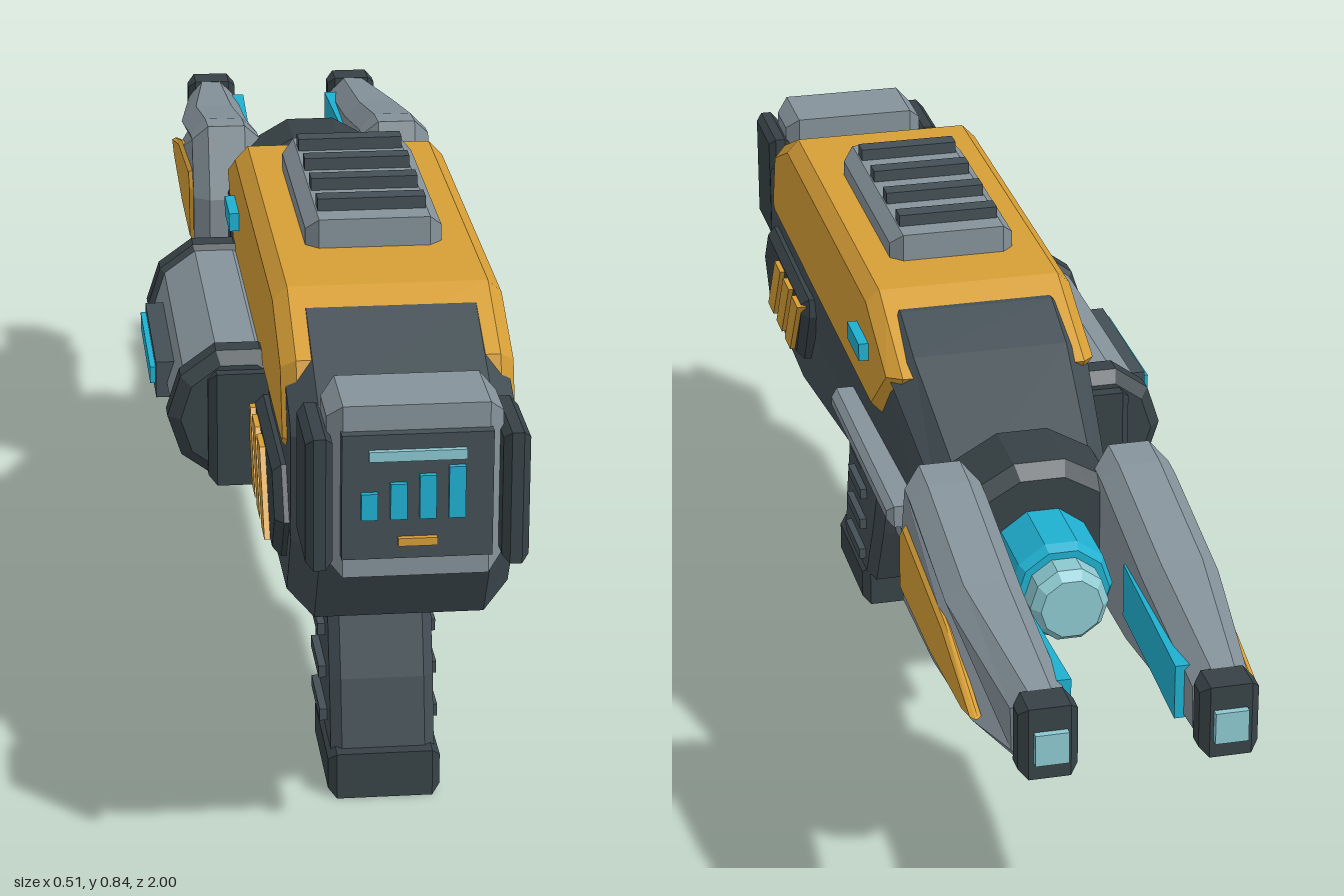
import * as THREE from 'three';

const mat = (name, color) => {
  const m = new THREE.MeshStandardMaterial({ color });
  m.name = name;
  return m;
};

export function createModel() {
  const dark = mat('dark slate', 0x434f55);
  const deep = mat('deep slate', 0x374246);
  const grey = mat('steel grey', 0x85929a);
  const gold = mat('gold', 0xd69e36);
  const cyan = mat('cyan', 0x1fb0d0);
  const pale = mat('pale cyan', 0x8cc8d0);

  const root = new THREE.Group();
  root.name = 'blaster';
  // Everything is built around the barrel plane, which sits slightly off centre
  const gun = new THREE.Group();
  gun.name = 'gun';
  gun.position.x = 0.055;
  root.add(gun);

  // Adds a mesh with hard, faceted normals
  function add(name, geo, material) {
    const g = geo.index ? geo.toNonIndexed() : geo;
    g.computeVertexNormals();
    const mesh = new THREE.Mesh(g, material);
    mesh.name = name;
    gun.add(mesh);
    return mesh;
  }

  // Side profile of [z, y] points given thickness along x, with chamfered rims
  function slab(points, x0, x1, bevel = 0) {
    const w = x1 - x0;
    const geo = new THREE.ExtrudeGeometry(new THREE.Shape(points.map(p => new THREE.Vector2(...p))), {
      depth: w - 2 * bevel, bevelEnabled: bevel > 0, bevelThickness: bevel,
      bevelSize: bevel, bevelOffset: -bevel, bevelSegments: 1,
    });
    return geo.translate(0, 0, bevel - w / 2).rotateY(-Math.PI / 2).translate((x0 + x1) / 2, 0, 0);
  }

  const rect = (z0, z1, y0, y1) => [[z0, y0], [z1, y0], [z1, y1], [z0, y1]];
  const block = (x0, x1, y0, y1, z0, z1, bevel = 0) => slab(rect(z0, z1, y0, y1), x0, x1, bevel);

  // Moves vertices by a rule
  function warp(geo, rule) {
    const p = geo.attributes.position, v = new THREE.Vector3();
    for (let i = 0; i < p.count; i++) {
      rule(v.fromBufferAttribute(p, i));
      p.setXYZ(i, v.x, v.y, v.z);
    }
    return geo;
  }

  // Faceted ring or rod along z from [radius, z] points
  function turned(profile, sides, x, y) {
    const geo = new THREE.LatheGeometry(profile.map(p => new THREE.Vector2(...p)), sides);
    return geo.rotateY(Math.PI / sides).rotateX(Math.PI / 2).translate(x, y, 0);
  }

  // Main body, narrowing towards the muzzle
  const body = slab([[0.80, 0.355], [0.57, 0.345], [-0.31, 0.44], [-0.38, 0.47], [-0.38, 0.615],
    [-0.14, 0.727], [-0.05, 0.762], [0.68, 0.762], [0.85, 0.685], [0.875, 0.65], [0.875, 0.48]].reverse(),
    -0.153, 0.153, 0.036);
  add('body', warp(body, v => { if (v.z < -0.2) v.x *= 0.84; }), dark);

  // Gold upper shell
  add('upperShell', slab([[0.805, 0.61], [0.77, 0.72], [0.64, 0.78], [0, 0.78], [-0.05, 0.757],
    [-0.165, 0.705], [-0.14, 0.675], [-0.03, 0.585], [0.78, 0.585]], -0.159, 0.159, 0.02), gold);

  // Top rail with cross ribs
  add('topRail', block(-0.097, 0.097, 0.76, 0.822, 0.10, 0.485, 0.018), grey);
  for (const z of [0.15, 0.244, 0.338, 0.432])
    add('topRailRib', block(-0.077, 0.077, 0.81, 0.84, z - 0.014, z + 0.014), dark);

  // Display housing, side pads and screen
  add('displayHousing', block(-0.117, 0.117, 0.488, 0.73, 0.855, 0.97, 0.02), grey);
  for (const s of [-1, 1])
    add('displayPad', block(s * 0.13 - 0.018, s * 0.13 + 0.018, 0.51, 0.695, 0.86, 0.995, 0.01), deep);
  add('screen', block(-0.1, 0.1, 0.52, 0.695, 0.95, 0.985), dark);
  const plate = (name, x0, x1, y0, y1, m) => add(name, block(x0, x1, y0, y1, 0.985, 0.993), m);
  plate('screenHeader', -0.065, 0.064, 0.66, 0.674, pale);
  [0.615, 0.628, 0.639, 0.65].forEach((top, i) => {
    const x = -0.064 + i * 0.0385;
    plate('screenBar', x - 0.011, x + 0.011, 0.578, top, cyan);
  });
  plate('screenMark', -0.026, 0.026, 0.54, 0.551, gold);

  // Muzzle collar and energy core
  const axisY = 0.545;
  add('muzzleCollar', turned([[0, -0.29], [0.1, -0.29], [0.145, -0.335], [0.145, -0.44],
    [0.125, -0.46], [0, -0.46]].reverse(), 12, 0, axisY), deep);
  add('energyCore', turned([[0, -0.58], [0.068, -0.58], [0.076, -0.565], [0.076, -0.45]], 10, 0, axisY), cyan);
  add('energyTip', turned([[0, -0.63], [0.045, -0.63], [0.057, -0.615], [0.057, -0.575]], 10, 0, axisY), pale);

  for (const s of [-1, 1]) {
    // Slab on one side, between two distances from the centre plane
    const side = (points, a, b, bevel) => slab(points, Math.min(s * a, s * b), Math.max(s * a, s * b), bevel);

    // Prong, tapering on its outer face at the tip
    const prong = side([[-0.385, 0.445], [-0.375, 0.57], [-0.41, 0.685], [-0.47, 0.68], [-0.69, 0.635],
      [-0.96, 0.60], [-0.97, 0.495], [-0.84, 0.485], [-0.61, 0.45]], 0.085, 0.195, 0.025);
    add('prong', warp(prong, v => { if (v.z < -0.9 && s * v.x > 0.12) v.x -= s * 0.03; }), grey);
    add('prongPanel', side([[-0.41, 0.49], [-0.41, 0.58], [-0.435, 0.605], [-0.69, 0.575], [-0.865, 0.525],
      [-0.81, 0.505], [-0.61, 0.488]], 0.185, 0.201, 0.006), gold);
    add('prongCap', side(rect(-0.99, -0.94, 0.497, 0.603), 0.083, 0.165, 0.012), deep);
    add('prongTip', side(rect(-1, -0.98, 0.522, 0.568), 0.1, 0.146), pale);
    const strip = side(rect(-0.9, -0.6, 0.51, 0.59), 0.07, 0.1);
    add('prongGlow', warp(strip, v => { if (v.z < -0.7 && s * v.x < 0.08) v.x += s * 0.002; else if (s * v.x < 0.08) v.x += s * 0.012; }), cyan);

    // Side rail and indicator light
    add('sideRail', side(rect(-0.235, 0.195, 0.498, 0.532), 0.12, 0.18, 0.01), grey);
    add('indicator', side(rect(-0.01, 0.077, 0.67, 0.698), 0.14, 0.174), cyan);

    // Rear vent with slanted stripes
    add('ventPanel', side([[0.82, 0.505], [0.775, 0.572], [0.465, 0.567], [0.465, 0.535], [0.52, 0.437],
      [0.775, 0.437]], 0.13, 0.172, 0.012), deep);
    for (let i = 0; i < 3; i++) {
      const z = 0.74 - i * 0.075;
      add('ventStripe', side([[z, 0.447], [z - 0.048, 0.447], [z - 0.123, 0.555], [z - 0.073, 0.555]], 0.165, 0.18), gold);
    }
  }

  // Side pod on the right: barrel, end rings, mounts and light
  const podX = -0.193, podY = 0.527;
  const ring = (r, z0, z1, c) => turned([[0, z0], [r - c, z0], [r, z0 + c], [r, z1 - c], [r - c, z1], [0, z1]], 10, podX, podY);
  add('podBarrel', ring(0.094, -0.02, 0.45, 0.01), grey);
  for (const z of [-0.05, 0.415]) add('podRing', ring(0.102, z, z + 0.068, 0.018), deep);
  for (const z of [-0.07, 0.44])
    add('podMount', block(-0.238, -0.13, 0.43, 0.6, z, z + 0.06, 0.012), deep);
  add('podLightFrame', block(-0.303, -0.27, 0.505, 0.56, 0.08, 0.335), dark);
  add('podLight', block(-0.311, -0.3, 0.524, 0.549, 0.09, 0.325), cyan);

  // Grip with ridges and foot
  add('grip', slab([[0.57, 0.38], [0.31, 0.38], [0.31, 0.315], [0.375, 0.17], [0.44, 0.05], [0.64, 0.05],
    [0.615, 0.17], [0.575, 0.3]].reverse(), -0.075, 0.075, 0.015), dark);
  [0.276, 0.215, 0.155, 0.094].forEach((y, i) => {
    const z = 0.476 + i * 0.0125;
    const half = 0.046 + i * 0.004;
    add('gripRidge', block(-0.086, 0.086, y - 0.009, y + 0.009, z - half, z + half), dark);
  });
  add('gripFoot', block(-0.081, 0.081, 0, 0.07, 0.447, 0.655, 0.012), deep);

  // Trigger and guard
  add('triggerGuardBar', slab([[0.40, 0.165], [0.13, 0.175], [0.105, 0.205], [0.13, 0.215], [0.40, 0.205]], -0.04, 0.04, 0.008), grey);
  add('triggerGuardPost', slab([[0.15, 0.2], [0.105, 0.19], [0.055, 0.345], [0.065, 0.36], [0.105, 0.365]], -0.04, 0.04, 0.008), grey);
  add('trigger', slab([[0.26, 0.235], [0.21, 0.245], [0.235, 0.365], [0.285, 0.355]], -0.028, 0.028, 0.006), gold);
  add('triggerStem', block(-0.02, 0.02, 0.345, 0.42, 0.235, 0.275), deep);

  return root;
}
